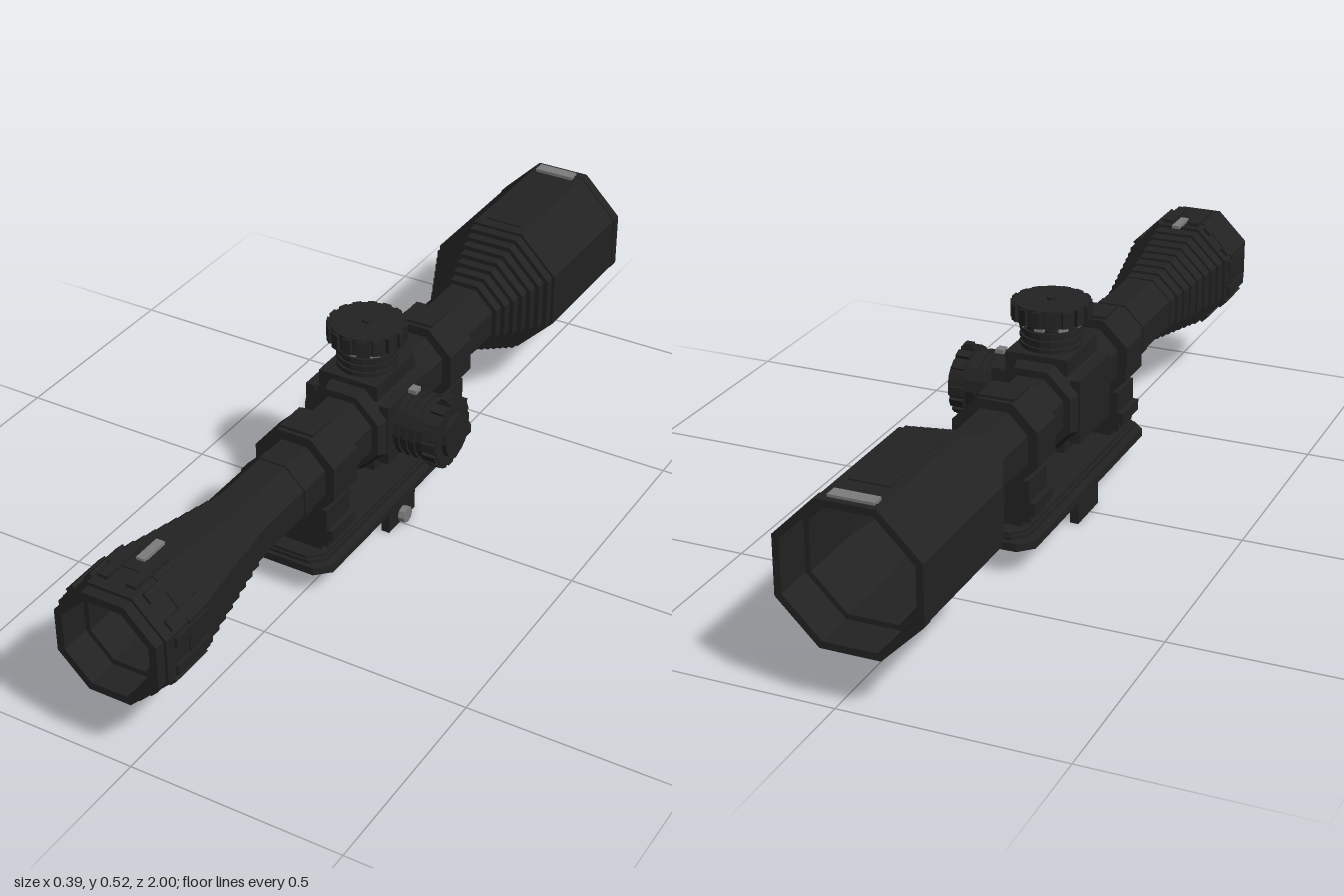
import * as THREE from 'three';

const CX = -0.038, CY = 0.29, CZ = -0.01; // optical axis and centre of the mount
const black = new THREE.MeshStandardMaterial({ color: 0x222222 });
black.name = 'matte black';
const steel = new THREE.MeshStandardMaterial({ color: 0x7c7c7c });
steel.name = 'grey steel';

export function createModel() {
  const model = new THREE.Group();
  model.name = 'scope';

  // Facets a geometry so that every face is flat
  const facet = (g) => {
    const f = g.index ? g.toNonIndexed() : g;
    f.computeVertexNormals();
    return f;
  };
  const add = (parent, name, geo, mat = black, x = 0, y = 0, z = 0) => {
    const m = new THREE.Mesh(geo, mat);
    m.name = name;
    m.position.set(x, y, z);
    parent.add(m);
    return m;
  };
  // Box given by its limits
  const box = (parent, name, x0, x1, y0, y1, z0, z1, mat = black) =>
    add(parent, name, new THREE.BoxGeometry(x1 - x0, y1 - y0, z1 - z0), mat,
      (x0 + x1) / 2, (y0 + y1) / 2, (z0 + z1) / 2);
  // Octagonal turning about the z axis from [apothem, z] pairs
  const octagon = (pairs) => {
    const k = 1 / Math.cos(Math.PI / 8);
    const pts = pairs.map(([r, z]) => new THREE.Vector2(r * k, z));
    return facet(new THREE.LatheGeometry(pts, 8, Math.PI / 8).rotateX(Math.PI / 2));
  };
  // Staircase profile between two radii
  const steps = (r0, z0, r1, z1, n) => {
    const out = [];
    for (let i = 0; i < n; i++) {
      const r = r0 + (r1 - r0) * (i + 0.5) / n;
      out.push([r, z0 + (z1 - z0) * i / n], [r, z0 + (z1 - z0) * (i + 1) / n]);
    }
    return out;
  };

  // Hollow main body: objective, tube and eyepiece, then back through the bore
  const body = new THREE.Group();
  body.name = 'body';
  body.position.set(CX, CY, 0);
  model.add(body);
  add(body, 'tube', octagon([
    [0.147, -0.99], [0.159, -0.99], [0.159, -0.64],
    ...steps(0.158, -0.64, 0.084, -0.47, 7),
    [0.078, -0.47], [0.078, 0.55],
    ...steps(0.078, 0.55, 0.125, 0.82, 8),
    [0.129, 0.82], [0.129, 0.975], [0.122, 0.975], [0.122, 1],
    [0.104, 1], [0.104, 0.93], [0.092, 0.93], [0.092, 0.83], [0.07, 0.83],
    [0.07, -0.5], [0.1, -0.5], [0.1, -0.62], [0.135, -0.72], [0.135, -0.9],
    [0.147, -0.9], [0.147, -0.99],
  ]));
  add(body, 'objectiveRim', octagon([
    [0.145, -1], [0.161, -1], [0.161, -0.975], [0.145, -0.975], [0.145, -1]]));
  add(body, 'tubeCollar', octagon([
    [0.07, 0.36], [0.081, 0.36], [0.081, 0.39], [0.07, 0.39]]));
  box(body, 'objectivePanel', -0.045, 0.045, 0.157, 0.162, -0.9, -0.67);
  box(body, 'objectiveMark', -0.055, 0.045, 0.158, 0.167, -0.985, -0.955, steel);

  // Eyepiece focus ring with grips on each facet
  add(body, 'eyepieceRing', octagon([
    [0.12, 0.86], [0.132, 0.86], [0.132, 0.9], [0.12, 0.9]]));
  for (let i = 0; i < 8; i++) {
    const facetGroup = new THREE.Group();
    facetGroup.name = 'eyepieceGrip';
    facetGroup.rotation.z = i * Math.PI / 4;
    body.add(facetGroup);
    for (const x of [-0.034, 0.034])
      box(facetGroup, 'grip', x - 0.012, x + 0.012, 0.12, 0.137, 0.84, 0.95);
  }
  box(body, 'eyepieceMark', -0.01, 0.01, 0.13, 0.138, 0.8, 0.87, steel);
  for (const s of [-1, 1])
    box(body, 'boreTab', s * 0.067 - 0.005, s * 0.067 + 0.005, -0.022, 0.02, CZ - 0.03, CZ + 0.03);

  // Turret housing around the tube
  add(body, 'turretHousing', octagon([
    [0.07, CZ - 0.115], [0.095, CZ - 0.115], [0.104, CZ - 0.095],
    [0.104, CZ + 0.095], [0.095, CZ + 0.115], [0.07, CZ + 0.115]]));
  box(body, 'housingTop', -0.075, 0.075, 0.08, 0.118, CZ - 0.085, CZ + 0.085);
  box(body, 'housingBottom', -0.07, 0.07, -0.104, -0.07, CZ - 0.09, CZ + 0.09);
  for (const s of [-1, 1])
    box(body, 'housingSide', s * 0.095 - 0.012, s * 0.095 + 0.012, -0.075, 0.075, CZ - 0.09, CZ + 0.09);

  // Adjustment turret, built upwards from y = 0
  const turret = (name, neck, neckR, capR, capH) => {
    const g = new THREE.Group();
    g.name = name;
    const disc = (n, r, y0, y1, sides = 16) => add(g, n,
      facet(new THREE.CylinderGeometry(r, r, y1 - y0, sides)), black, 0, (y0 + y1) / 2, 0);
    disc('turretNeck', neckR - 0.006, 0, neck);
    for (let i = 0; i < 3; i++)
      disc('neckRing', neckR, neck * (0.12 + i * 0.25), neck * (0.26 + i * 0.25));
    disc('turretCap', capR - 0.006, neck, neck + capH);
    for (let i = 0; i < 16; i++) {
      const a = i * Math.PI / 8;
      const rib = add(g, 'capRib', new THREE.BoxGeometry(0.02, capH * 0.9, 0.014), black,
        Math.sin(a) * (capR - 0.007), neck + capH / 2, Math.cos(a) * (capR - 0.007));
      rib.rotation.y = a;
    }
    model.add(g);
    return { g, disc };
  };

  // Top turret with steel screws under the cap
  const top = turret('topTurret', 0.072, 0.071, 0.091, 0.041);
  top.g.position.set(CX, 0.4, CZ);
  top.disc('capButton', 0.011, 0.113, 0.119, 8);
  for (let i = 0; i < 8; i++) {
    const a = i * Math.PI / 4;
    const s = add(top.g, 'neckScrew', new THREE.BoxGeometry(0.022, 0.011, 0.012), steel,
      Math.sin(a) * 0.066, 0.065, Math.cos(a) * 0.066);
    s.rotation.y = a;
  }

  // Side turret on the left
  const side = turret('sideTurret', 0.08, 0.077, 0.082, 0.037);
  side.g.position.set(0.066, CY - 0.004, CZ);
  side.g.rotation.z = -Math.PI / 2;
  side.disc('capFace', 0.052, 0.117, 0.13);
  box(model, 'sideCapNub', 0.155, 0.175, 0.36, 0.376, CZ - 0.01, CZ + 0.01);
  box(model, 'sideMark', 0.075, 0.095, 0.366, 0.376, CZ - 0.012, CZ + 0.012, steel);

  // Two mounting rings with their pedestals
  for (const s of [-1, 1]) {
    const z = CZ + s * 0.262;
    const g = new THREE.Group();
    g.name = s > 0 ? 'frontMount' : 'rearMount';
    model.add(g);
    const ring = add(g, 'ring', octagon([
      [0.07, -0.05], [0.1, -0.05], [0.1, 0.05], [0.07, 0.05]]));
    ring.position.set(CX, CY, z);
    box(g, 'ringCap', CX - 0.042, CX + 0.042, 0.38, 0.396, z - 0.04, z + 0.04);
    box(g, 'saddle', CX - 0.08, CX + 0.08, 0.15, 0.215, z - 0.05, z + 0.05);
    box(g, 'saddleFlange', CX - 0.094, CX + 0.094, 0.136, 0.163, z - 0.05, z + 0.05);
    box(g, 'pedestal', CX - 0.08, CX + 0.08, 0.113, 0.14, z - 0.045, z + 0.045);
    box(g, 'foot', CX - 0.062, CX + 0.062, 0.095, 0.115, z - 0.045, z + 0.045);
  }

  // Rail plates with clipped corners
  const plate = (name, halfW, halfL, clip, y0, y1) => {
    const s = new THREE.Shape([
      [halfW, halfL - clip], [halfW - clip, halfL], [clip - halfW, halfL], [-halfW, halfL - clip],
      [-halfW, clip - halfL], [clip - halfW, -halfL], [halfW - clip, -halfL], [halfW, clip - halfL],
    ].map(([x, y]) => new THREE.Vector2(x, y)));
    const geo = new THREE.ExtrudeGeometry(s, { depth: y1 - y0, bevelEnabled: false }).rotateX(-Math.PI / 2);
    add(model, name, geo, black, CX, y0, CZ);
  };
  plate('basePlate', 0.101, 0.355, 0.032, 0.063, 0.082);
  plate('railWaist', 0.078, 0.345, 0.03, 0.08, 0.088);
  plate('railTop', 0.084, 0.35, 0.03, 0.086, 0.094);
  plate('railCrown', 0.077, 0.345, 0.03, 0.093, 0.101);

  // Clamp under the rail
  const z0 = CZ - 0.06, z1 = CZ + 0.06;
  box(model, 'clampBridge', CX - 0.093, CX + 0.093, 0.041, 0.064, z0, z1);
  for (const s of [-1, 1])
    box(model, 'clampLeg', CX + s * 0.083 - 0.01, CX + s * 0.083 + 0.01, 0, 0.045, z0, z1);
  box(model, 'clampPad', CX - 0.051, CX + 0.051, 0.022, 0.043, z0, z1);
  const bolt = add(model, 'clampBolt',
    facet(new THREE.CylinderGeometry(0.02, 0.02, 0.018, 8)), steel, 0.062, 0.02, CZ);
  bolt.rotation.z = Math.PI / 2;

  return model;
}
